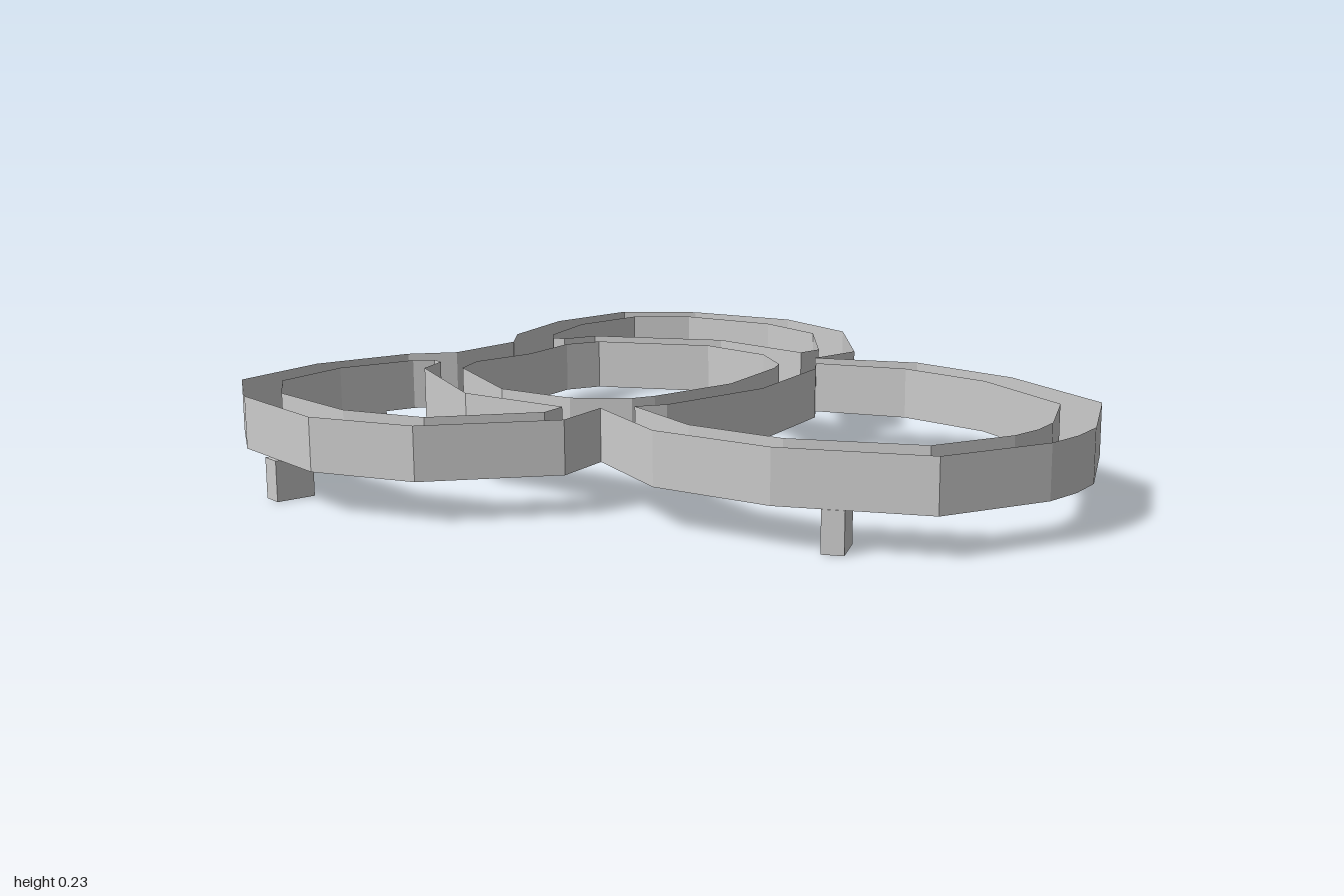
import * as THREE from 'three';

const FLOOR = 0.10, TOP = 0.23;

// Half outlines as [x, z]; mirrored across x = 0 into closed loops.
const outerHalf = [
  [0, 1.0], [0.10, 0.99], [0.36, 0.87], [0.51, 0.54], [0.54, 0.235], [0.43, -0.02],
  [0.58, 0.005], [0.84, -0.215], [0.922, -0.475], [0.86, -0.79], [0.73, -0.97],
  [0.465, -1.0], [0.21, -0.925], [0.11, -0.84],
];
const frontHalf = [
  [0, 0.13], [0.30, 0.075], [0.365, 0.03], [0.445, 0.26], [0.425, 0.51],
  [0.285, 0.80], [0.085, 0.89], [0, 0.90],
];
const centreHalf = [
  [0, -0.667], [0.175, -0.695], [0.265, -0.655], [0.405, -0.37], [0.385, -0.16],
  [0.295, -0.04], [0.24, -0.015], [0, 0.03],
];
// Complete opening of one back ring
const sideLoop = [
  [0.545, -0.09], [0.475, -0.10], [0.50, -0.40], [0.33, -0.73], [0.24, -0.765], [0.23, -0.80],
  [0.27, -0.84], [0.465, -0.905], [0.675, -0.88], [0.78, -0.75], [0.82, -0.475], [0.76, -0.265],
];

const flip = (pts) => pts.map(([x, z]) => [-x, z]).reverse();
const mirrorLoop = (half) => [...half, ...flip(half).filter(([x]) => x !== 0)];
const toVectors = (pts) => pts.map(([x, z]) => new THREE.Vector2(x, z));

// Thin upright wall following a closed loop
function wallGeometry(loop) {
  const pos = [];
  loop.forEach(([ax, az], i) => {
    const [bx, bz] = loop[(i + 1) % loop.length];
    pos.push(ax, FLOOR, az, bx, FLOOR, bz, bx, TOP, bz);
    pos.push(ax, FLOOR, az, bx, TOP, bz, ax, TOP, az);
  });
  const g = new THREE.BufferGeometry();
  g.setAttribute('position', new THREE.Float32BufferAttribute(pos, 3));
  g.computeVertexNormals();
  return g;
}

export function createModel() {
  const group = new THREE.Group();
  const material = new THREE.MeshStandardMaterial({
    color: 0xcccccc, flatShading: true, side: THREE.DoubleSide,
  });
  const add = (name, geometry) => {
    const mesh = new THREE.Mesh(geometry, material);
    mesh.name = name;
    group.add(mesh);
    return mesh;
  };

  const outer = mirrorLoop(outerHalf);
  const openings = {
    frontRingWall: mirrorLoop(frontHalf),
    centreRingWall: mirrorLoop(centreHalf),
    leftRingWall: sideLoop,
    rightRingWall: flip(sideLoop),
  };

  // Channel floor shared by the four joined rings
  const shape = new THREE.Shape(toVectors(outer));
  for (const loop of Object.values(openings)) shape.holes.push(new THREE.Path(toVectors(loop)));
  add('channelFloor', new THREE.ShapeGeometry(shape).rotateX(Math.PI / 2).translate(0, FLOOR, 0));

  // Outer rim and the walls around each opening; the channel is open on top
  add('outerWall', wallGeometry(outer));
  for (const [name, loop] of Object.entries(openings)) add(name, wallGeometry(loop));

  // Short legs, each turned to lie across its ring: x, z, turn
  const legs = [
    ['frontLeftLeg', 0.41, 0.645, -0.43],
    ['frontRightLeg', -0.41, 0.645, 0.43],
    ['sideRightLeg', -0.85, -0.643, -0.2],
    ['backRightLeg', -0.357, -0.922, 1.3],
  ];
  for (const [name, x, z, turn] of legs) {
    const leg = add(name, new THREE.BoxGeometry(0.098, FLOOR, 0.052));
    leg.position.set(x, FLOOR / 2, z);
    leg.rotation.y = turn;
  }
  return group;
}
